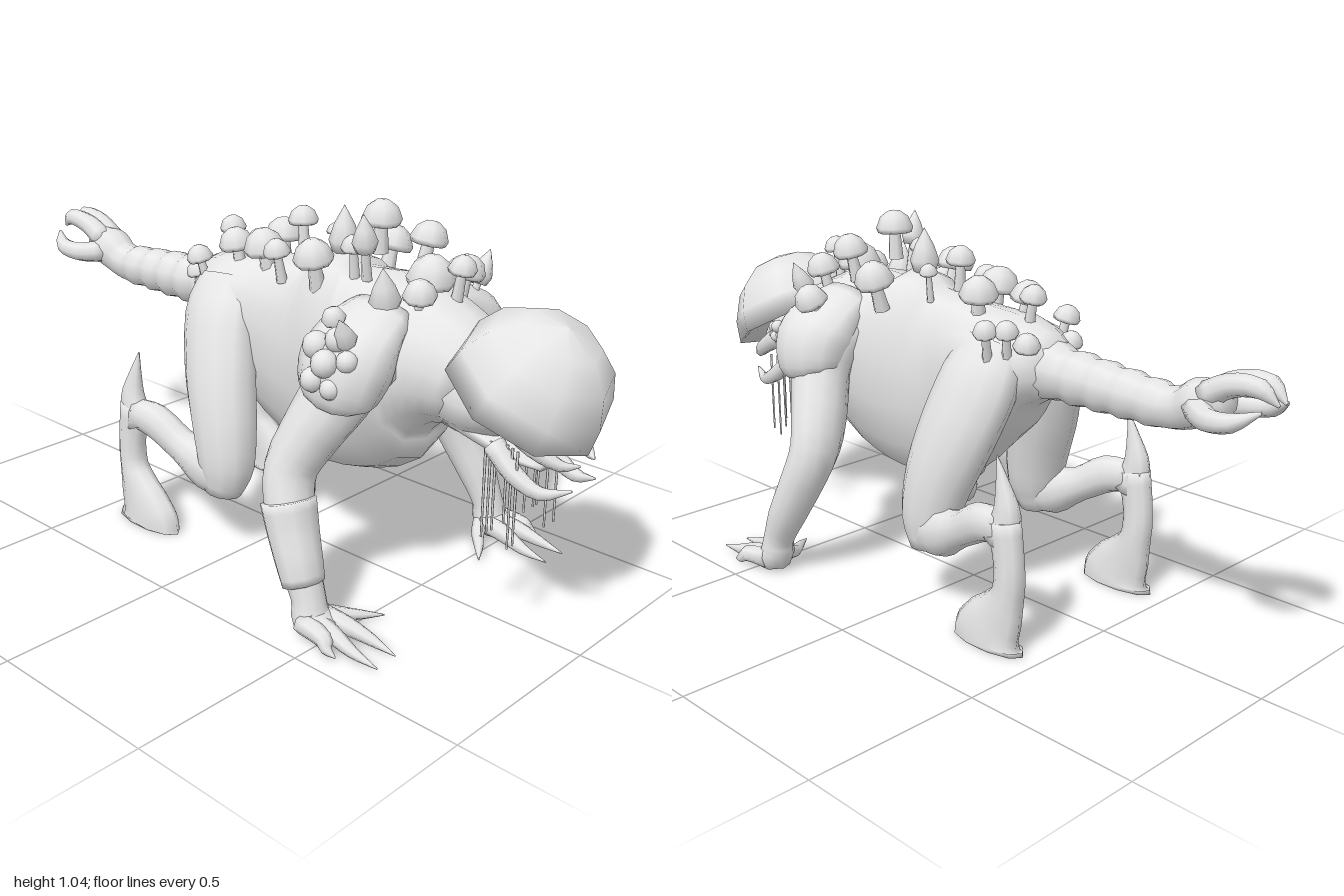
import * as THREE from 'three';

const clay = new THREE.MeshStandardMaterial({ color: 0xe6e6e6 });
clay.name = 'pale grey';

function add(parent, name, geometry) {
  const mesh = new THREE.Mesh(geometry, clay);
  mesh.name = name;
  parent.add(mesh);
  return mesh;
}

// Smooth closed tube through stations [x, y, z, radius in the xy plane, radius along z], kept above ground
function sweep(stations, sides = 10, steps = 3) {
  const path = new THREE.CatmullRomCurve3(stations.map(p => new THREE.Vector3(p[0], p[1], p[2])));
  const radii = new THREE.CatmullRomCurve3(stations.map(p => new THREE.Vector3(p[3], p[4] ?? p[3], 0)));
  const n = (stations.length - 1) * steps;
  const pos = [], idx = [];
  for (let i = 0; i <= n; i++) {
    const c = path.getPoint(i / n), t = path.getTangent(i / n), r = radii.getPoint(i / n);
    const side = new THREE.Vector3(0, 0, 1).addScaledVector(t, -t.z).normalize();
    const up = side.clone().cross(t);
    for (let j = 0; j < sides; j++) {
      const a = j / sides * Math.PI * 2;
      const p = c.clone().addScaledVector(up, Math.cos(a) * r.x).addScaledVector(side, Math.sin(a) * r.y);
      pos.push(p.x, Math.max(0, p.y), p.z);
      if (i < n) {
        const k = (j + 1) % sides, A = i * sides + j, B = i * sides + k;
        idx.push(A, B, A + sides, B, B + sides, A + sides);
      }
    }
  }
  const first = (n + 1) * sides, last = first + 1, end = n * sides;
  for (const t of [0, 1]) pos.push(...path.getPoint(t).toArray());
  for (let j = 0; j < sides; j++) {
    const k = (j + 1) % sides;
    idx.push(first, k, j, last, end + j, end + k);
  }
  const g = new THREE.BufferGeometry();
  g.setAttribute('position', new THREE.Float32BufferAttribute(pos, 3));
  g.setIndex(idx);
  g.computeVertexNormals();
  return g;
}

const lathe = (pts, sides) => new THREE.LatheGeometry(pts.map(p => new THREE.Vector2(...p)), sides);
const mirror = (s, pts) => pts.map(([x, y, z, ...r]) => [x, y, z * s, ...r]);

function ball(parent, name, x, y, z, r) {
  const mesh = add(parent, name, new THREE.SphereGeometry(r, 12, 8));
  mesh.position.set(x, y, z);
  return mesh;
}

// Fungus with its cap top at x, y, z, leaning outward from the spine
function mushroom(parent, x, y, z, r, pointed) {
  const g = new THREE.Group();
  g.name = pointed ? 'pointedMushroom' : 'domeMushroom';
  const h = pointed ? r * 3 : r * 1.15;
  const profile = pointed
    ? [[0, 0], [r * 0.75, 0], [r, h * 0.25], [r * 0.65, h * 0.6], [0, h]]
    : [[0, h * 0.12], [r * 0.9, -h * 0.05], [r, h * 0.18], [r * 0.75, h * 0.7], [r * 0.35, h * 0.95], [0, h]];
  add(g, 'mushroomCap', lathe(profile, 8)).position.y = -h;
  add(g, 'mushroomStem', new THREE.CylinderGeometry(r * 0.3, r * 0.42, 0.09, 6)).position.y = -h - 0.035;
  g.position.set(x, y, z);
  g.rotation.x = z * 1.6;
  g.rotation.z = -(x - 0.2) * 0.4;
  parent.add(g);
}

export function createModel() {
  const model = new THREE.Group();
  model.name = 'fungusBeast';

  // Torso and neck, pinched at the waist
  add(model, 'torso', sweep([
    [-0.32, 0.70, 0, 0.075, 0.07], [-0.2, 0.69, 0, 0.135, 0.165], [-0.07, 0.64, 0, 0.215, 0.155],
    [0.08, 0.59, 0, 0.28, 0.14], [0.2, 0.585, 0, 0.31, 0.165], [0.33, 0.605, 0, 0.29, 0.19],
    [0.44, 0.65, 0, 0.225, 0.205], [0.55, 0.66, 0, 0.17, 0.17], [0.67, 0.635, 0, 0.12, 0.13],
  ], 14));

  // Ringed tail
  const tail = [[-0.22, 0.70, 0, 0.1, 0.1]];
  for (let i = 0; i < 5; i++) {
    const x = -0.32 - i * 0.08, r = 0.08 - i * 0.004;
    tail.push([x, 0.69 - i * 0.003, 0, r], [x - 0.04, 0.688 - i * 0.003, 0, r * 0.86]);
  }
  tail.push([-0.73, 0.685, 0, 0.055], [-0.78, 0.71, 0, 0.062], [-0.85, 0.735, 0, 0.04]);
  add(model, 'tail', sweep(tail));

  // Grasping claws at the tail tip
  for (const s of [-1, 1]) {
    add(model, 'outerTailClaw', sweep(mirror(s, [[-0.78, 0.705, 0.03, 0.035], [-0.85, 0.7, 0.08, 0.03],
      [-0.92, 0.71, 0.088, 0.024], [-0.98, 0.74, 0.055, 0.004]]), 8));
    add(model, 'innerTailClaw', sweep(mirror(s, [[-0.8, 0.735, 0.018, 0.035], [-0.87, 0.775, 0.022, 0.03],
      [-0.95, 0.785, 0.024, 0.026], [-1, 0.75, 0.015, 0.004]]), 8));
  }

  // Head, jaw and large tilted cap with a hollow underside
  add(model, 'head', sweep([[0.58, 0.63, 0, 0.12, 0.12], [0.68, 0.62, 0, 0.12, 0.14],
    [0.79, 0.61, 0, 0.08, 0.12], [0.88, 0.575, 0, 0.045, 0.08], [0.93, 0.55, 0, 0.015, 0.03]], 12));
  add(model, 'lowerJaw', sweep([[0.62, 0.56, 0, 0.05, 0.1], [0.72, 0.53, 0, 0.035, 0.1],
    [0.81, 0.495, 0, 0.022, 0.075], [0.87, 0.475, 0, 0.012, 0.04]]));
  const cap = add(model, 'headCap', lathe([[0, 0.05], [0.15, 0.03], [0.212, 0],
    [0.202, 0.07], [0.165, 0.145], [0.1, 0.2], [0, 0.225]], 8));
  cap.position.set(0.79, 0.635, 0);
  cap.rotation.z = -0.5;

  for (const s of [-1, 1]) {
    // Eyes, mandibles and hanging strands
    [[0.75, 0.645, 0.125, 0.02], [0.77, 0.61, 0.118, 0.018], [0.79, 0.635, 0.11, 0.017]]
      .forEach(([x, y, z, r]) => ball(model, 'eye', x, y, z * s, r));
    add(model, 'lowerTusk', sweep(mirror(s, [[0.76, 0.52, 0.075, 0.03], [0.83, 0.465, 0.085, 0.025],
      [0.9, 0.435, 0.075, 0.018], [0.97, 0.455, 0.05, 0.003]]), 7));
    add(model, 'upperMandible', sweep(mirror(s, [[0.8, 0.6, 0.08, 0.035], [0.88, 0.55, 0.085, 0.025],
      [0.94, 0.515, 0.06, 0.015], [0.975, 0.515, 0.03, 0.003]]), 7));
    for (let i = 0; i < 6; i++) {
      const bottom = 0.26 + (i * 5 % 4) * 0.02, top = 0.53;
      add(model, 'hangingStrand', new THREE.CylinderGeometry(0.004, 0.003, top - bottom, 5))
        .position.set(0.735 + i * 0.021, (top + bottom) / 2, s * (0.072 + (i % 3) * 0.009));
    }

    // Arm, from shoulder to palm
    add(model, 'arm', sweep(mirror(s, [[0.42, 0.71, 0.1, 0.13, 0.09], [0.41, 0.67, 0.2, 0.115, 0.095],
      [0.39, 0.59, 0.24, 0.095, 0.082], [0.35, 0.5, 0.28, 0.08, 0.082], [0.318, 0.4, 0.325, 0.068, 0.075],
      [0.345, 0.3, 0.355, 0.062, 0.068], [0.395, 0.19, 0.376, 0.055, 0.058], [0.435, 0.1, 0.383, 0.044, 0.047],
      [0.45, 0.045, 0.385, 0.05, 0.053], [0.51, 0.028, 0.385, 0.024, 0.05]]), 12));
    // Sloping shoulder pad, flared at its lower edge
    add(model, 'shoulder', sweep(mirror(s, [[0.42, 0.79, 0.1, 0.1, 0.05], [0.42, 0.745, 0.185, 0.125, 0.07],
      [0.42, 0.685, 0.235, 0.13, 0.1], [0.41, 0.61, 0.255, 0.11, 0.088], [0.405, 0.585, 0.255, 0.07, 0.06]]), 12));
    for (const [z, tipX, tipZ] of [[0.355, 0.68, 0.33], [0.39, 0.685, 0.405], [0.42, 0.58, 0.44]]) {
      add(model, 'finger', sweep(mirror(s, [[0.45, 0.045, z, 0.03], [0.53, 0.036, (z + tipZ) / 2, 0.025],
        [0.6 + (tipX - 0.68) * 0.5, 0.02, tipZ, 0.016], [tipX, 0.008, tipZ, 0.002]]), 7));
    }
    add(model, 'thumb', sweep(mirror(s, [[0.43, 0.05, 0.37, 0.025], [0.46, 0.03, 0.31, 0.02],
      [0.5, 0.02, 0.26, 0.014], [0.54, 0.012, 0.205, 0.002]]), 7));

    // Hind leg: thigh, knee, backward shin and flat-soled foot
    add(model, 'thigh', sweep(mirror(s, [[-0.16, 0.76, 0.08, 0.1, 0.05], [-0.15, 0.66, 0.125, 0.125, 0.075],
      [-0.11, 0.52, 0.168, 0.12, 0.085], [-0.065, 0.38, 0.198, 0.104, 0.085],
      [-0.043, 0.26, 0.213, 0.087, 0.075], [-0.05, 0.175, 0.222, 0.055, 0.05]]), 12));
    add(model, 'shin', sweep(mirror(s, [[-0.02, 0.225, 0.218, 0.055, 0.055], [-0.1, 0.24, 0.225, 0.075, 0.06],
      [-0.2, 0.28, 0.24, 0.05, 0.045], [-0.29, 0.33, 0.255, 0.054, 0.042], [-0.37, 0.34, 0.265, 0.045, 0.035]])));
    add(model, 'heelSpur', sweep(mirror(s, [[-0.36, 0.3, 0.262, 0.055, 0.038], [-0.385, 0.38, 0.262, 0.045, 0.03],
      [-0.37, 0.46, 0.262, 0.022, 0.015], [-0.35, 0.53, 0.262, 0.002]]), 8));
    add(model, 'hindFoot', sweep(mirror(s, [[-0.375, 0.36, 0.263, 0.055, 0.035], [-0.395, 0.25, 0.263, 0.045, 0.036],
      [-0.393, 0.17, 0.262, 0.045, 0.04], [-0.365, 0.1, 0.264, 0.075, 0.043],
      [-0.335, 0.045, 0.266, 0.103, 0.046], [-0.325, 0.015, 0.266, 0.122, 0.047], [-0.325, 0, 0.266, 0.125, 0.047]])));
  }

  // Wrap on one forearm
  add(model, 'forearmWrap', sweep([[0.342, 0.33, 0.36, 0.072, 0.077], [0.365, 0.26, 0.367, 0.067, 0.072],
    [0.395, 0.19, 0.377, 0.062, 0.065], [0.415, 0.13, 0.38, 0.055, 0.06]]));

  // Puffball cluster on one shoulder
  [[0.38, 0.74, 0.3], [0.44, 0.765, 0.29], [0.48, 0.72, 0.3], [0.43, 0.71, 0.325], [0.4, 0.665, 0.335], [0.45, 0.65, 0.325]]
    .forEach(([x, y, z], i) => ball(model, 'puffball', x, y, z, 0.036 - (i % 3) * 0.004));

  // Mushrooms along the back: x, top y, z, radius, pointed
  [[-0.23, 0.91, 0, 0.038], [-0.25, 0.84, 0.12, 0.038], [-0.26, 0.84, -0.14, 0.034], [-0.22, 0.84, -0.18, 0.034],
    [-0.15, 0.9, 0.07, 0.05], [-0.08, 0.92, -0.06, 0.055], [-0.03, 0.92, 0.08, 0.058], [0.04, 0.98, -0.01, 0.042],
    [0.05, 0.91, 0.11, 0.038], [0.1, 0.93, -0.08, 0.026], [0.2, 1.01, 0, 0.042, true], [0.2, 0.94, 0.13, 0.055],
    [0.23, 0.93, -0.18, 0.058], [0.33, 1.045, 0, 0.054], [0.36, 1.03, 0.11, 0.034, true], [0.4, 0.98, -0.12, 0.052],
    [0.3, 0.96, 0.08, 0.034], [0.5, 0.93, 0, 0.065], [0.46, 0.92, 0.15, 0.042, true], [0.53, 0.89, 0.09, 0.045],
    [0.58, 0.94, -0.02, 0.038], [0.52, 0.91, -0.13, 0.05], [0.4, 0.85, -0.28, 0.05], [0.5, 0.9, -0.24, 0.032, true],
    [0.4, 0.83, 0.27, 0.032], [0.47, 0.83, 0.32, 0.03, true], [-0.29, 0.78, 0.09, 0.034], [-0.28, 0.8, -0.08, 0.038]]
    .forEach(m => mushroom(model, ...m));

  return model;
}
